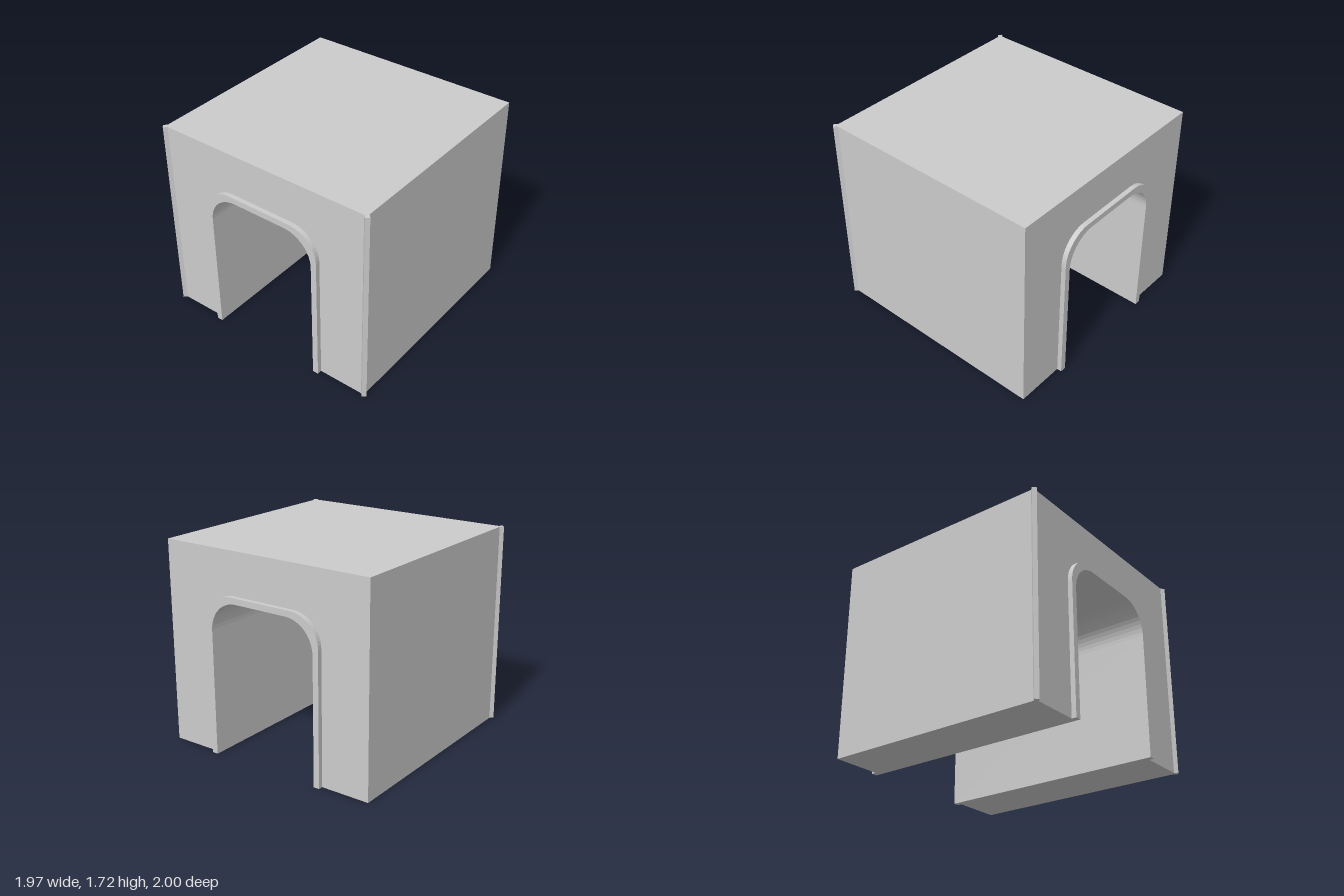
import * as THREE from 'three';

const HEIGHT = 1.715, HALF = 0.96;

// Traces a round-shouldered doorway from the left foot to the right foot (or back)
function traceArch(path, w, h, r, reverse, start) {
  if (!reverse) {
    path[start ? 'moveTo' : 'lineTo'](-w, 0);
    path.lineTo(-w, h - r);
    path.absarc(-w + r, h - r, r, Math.PI, Math.PI / 2, true);
    path.absarc(w - r, h - r, r, Math.PI / 2, 0, true);
    path.lineTo(w, 0);
  } else {
    path.lineTo(w, 0);
    path.lineTo(w, h - r);
    path.absarc(w - r, h - r, r, 0, Math.PI / 2, false);
    path.absarc(-w + r, h - r, r, Math.PI / 2, Math.PI, false);
    path.lineTo(-w, 0);
  }
}

function extrudeZ(shape, halfDepth) {
  const geo = new THREE.ExtrudeGeometry(shape, { depth: halfDepth * 2, bevelEnabled: false, curveSegments: 6 });
  return geo.translate(0, 0, -halfDepth);
}

export function createModel() {
  const group = new THREE.Group();
  const material = new THREE.MeshStandardMaterial({ color: 0xcccccc, flatShading: true });
  const add = (name, geometry) => {
    const mesh = new THREE.Mesh(geometry, material);
    mesh.name = name;
    group.add(mesh);
    return mesh;
  };

  // Solid block with a passage running from front to back
  const block = new THREE.Shape();
  block.moveTo(-HALF, 0);
  traceArch(block, 0.54, 1.36, 0.25, false, false);
  block.lineTo(HALF, 0);
  block.lineTo(HALF, HEIGHT);
  block.lineTo(-HALF, HEIGHT);
  block.closePath();
  add('block', extrudeZ(block, HALF));

  // Passage lining, standing proud of both faces as a door frame
  const lining = new THREE.Shape();
  traceArch(lining, 0.54, 1.36, 0.25, false, true);
  traceArch(lining, 0.49, 1.31, 0.25, true, false);
  lining.closePath();
  add('archLining', extrudeZ(lining, 1));

  // Square corner strips turned 45 degrees on the two front edges
  for (const [name, side] of [['leftCornerStrip', 1], ['rightCornerStrip', -1]]) {
    const strip = add(name, new THREE.BoxGeometry(0.037, HEIGHT, 0.037));
    strip.rotation.y = Math.PI / 4;
    strip.position.set(side * HALF, HEIGHT / 2, HALF);
  }
  return group;
}
